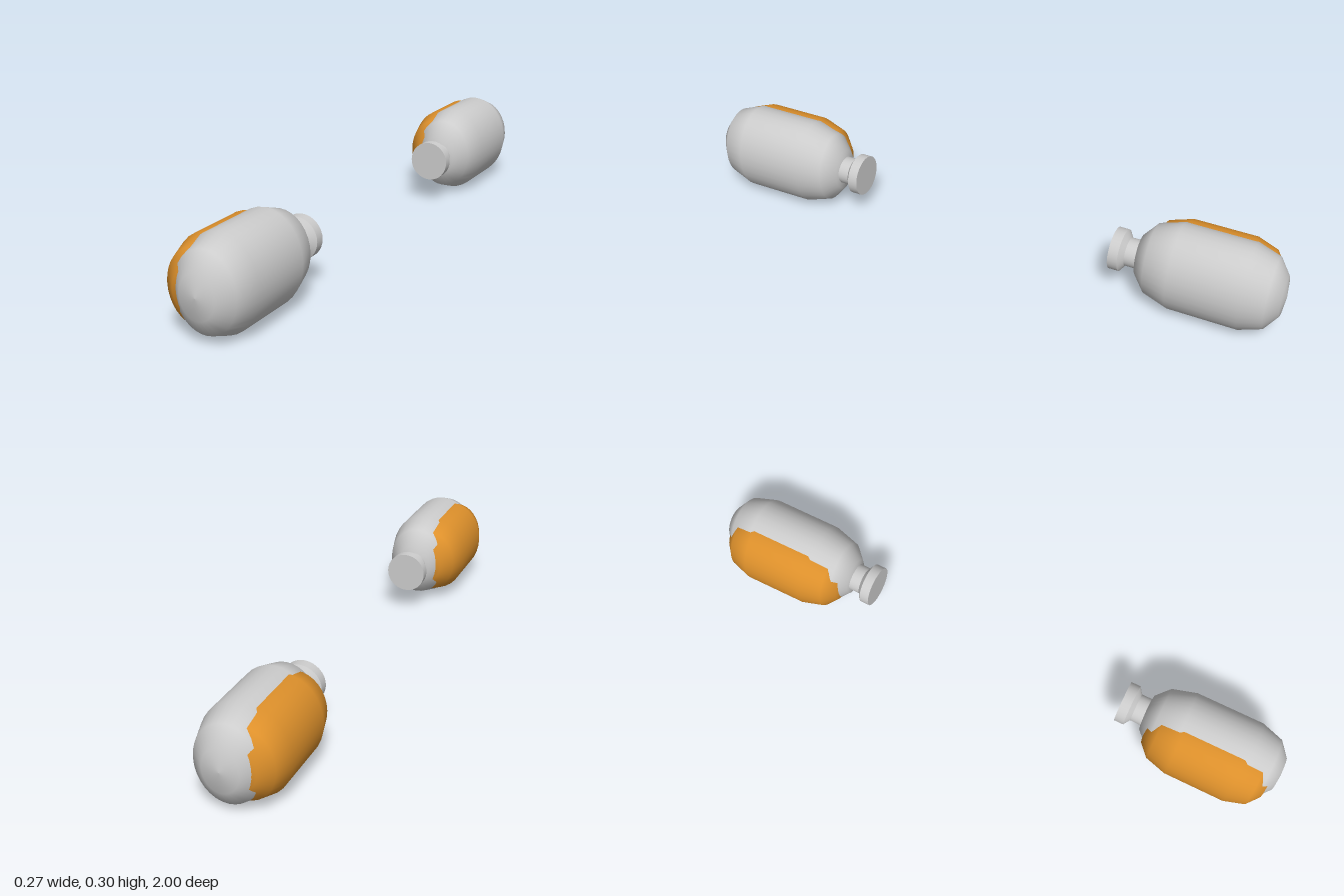
import * as THREE from 'three';

const CENTRE_X = 0.015, CENTRE_Y = 0.153;

// Unit-radius tank profile: [radius, distance along the axis], inner end first
const PROFILE = [
  [0, 0.525], [0.48, 0.535], [0.82, 0.575], [1, 0.655],
  [1, 0.88], [0.82, 0.953], [0.46, 0.99], [0, 0.998],
];

function mesh(name, geometry, material) {
  const m = new THREE.Mesh(geometry, material);
  m.name = name;
  return m;
}

// One tank along +y: body, offset coloured shell and valve
function makeTank(name, grey, orange) {
  const tank = new THREE.Group();
  tank.name = name;
  const points = PROFILE.map(([r, d]) => new THREE.Vector2(r, d));
  const lathe = new THREE.LatheGeometry(points, 32);

  const body = mesh('tankBody', lathe, grey);
  body.scale.set(0.121, 1, 0.148);
  tank.add(body);

  // Slightly smaller shell pushed out to the model's right
  const shell = mesh('sideShell', lathe, orange);
  shell.scale.set(0.11, 0.9, 0.135);
  shell.position.set(-0.043, 0.0765, 0);
  tank.add(shell);

  // Valve: neck, tapered collar and cap, running from the inner end
  const section = (part, top, bottom, from, to, open) => {
    const g = new THREE.CylinderGeometry(top, bottom, to - from, 32, 1, open);
    g.translate(0, (from + to) / 2, 0);
    tank.add(mesh(part, g, grey));
  };
  section('valveNeck', 0.046, 0.046, 0.495, 0.56, true);
  section('valveCollar', 0.046, 0.068, 0.482, 0.497, true);
  section('valveCap', 0.068, 0.068, 0.45, 0.482, false);
  return tank;
}

export function createModel() {
  const grey = new THREE.MeshStandardMaterial({ color: 0xcccccc });
  grey.name = 'light grey';
  const orange = new THREE.MeshStandardMaterial({ color: 0xdd902b });
  orange.name = 'orange';

  const model = new THREE.Group();
  model.name = 'tankPair';
  // Front and back tanks lie along z with their valves facing each other
  for (const [name, side] of [['frontTank', 1], ['backTank', -1]]) {
    const tank = makeTank(name, grey, orange);
    tank.rotation.x = side * Math.PI / 2;
    tank.position.set(CENTRE_X, CENTRE_Y, 0);
    model.add(tank);
  }
  return model;
}
